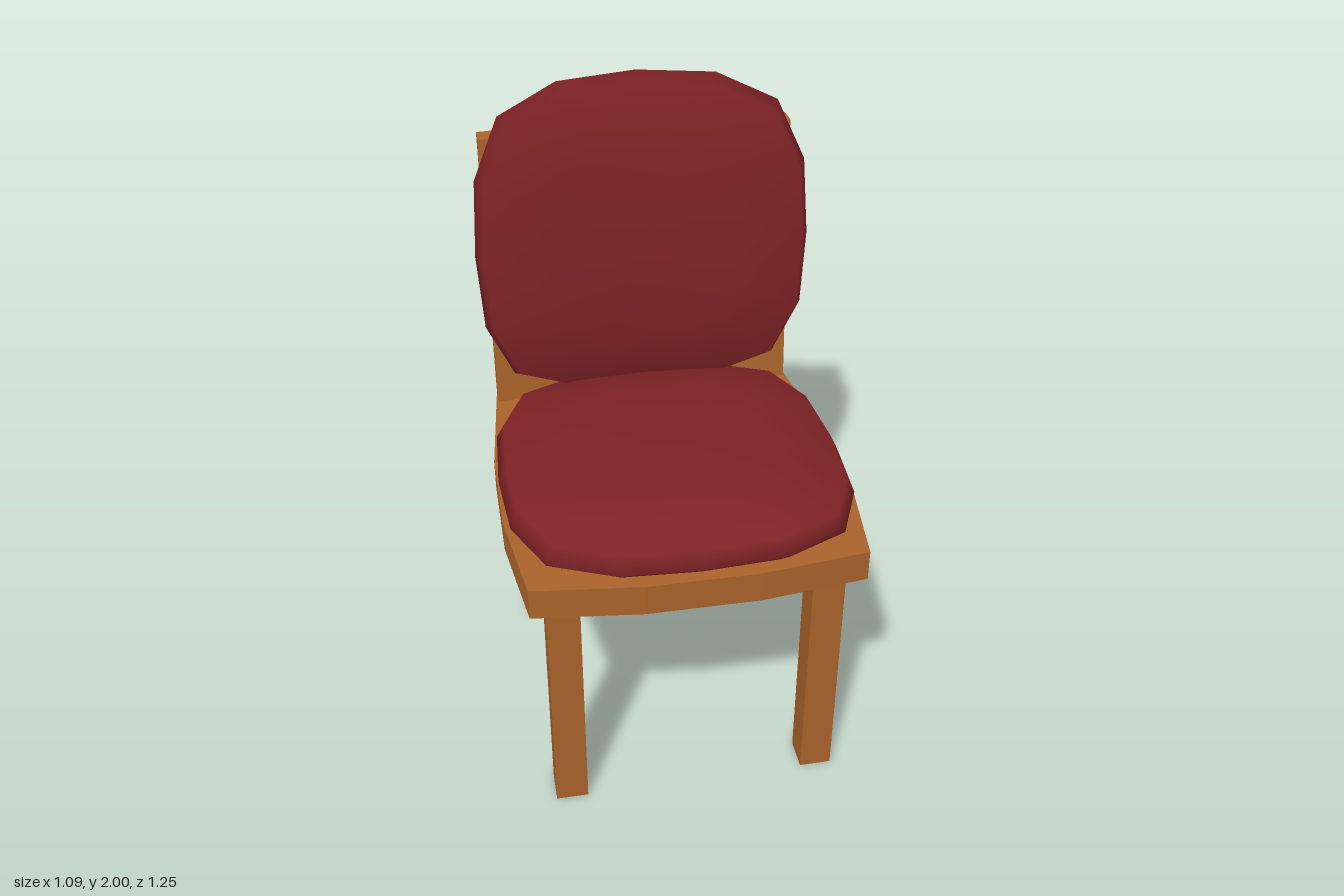
import * as THREE from 'three';
import { mergeVertices } from 'three/addons/utils/BufferGeometryUtils.js';

const wood = new THREE.MeshStandardMaterial({ color: 0xa9622b });
const fabric = new THREE.MeshStandardMaterial({ color: 0x7d2225 });
const LEAN = 0.079; // backward slope of the backrest

function part(group, name, geometry, material) {
  const mesh = new THREE.Mesh(geometry, material);
  mesh.name = name;
  group.add(mesh);
  return mesh;
}

// Apply a rule to every vertex
function warp(geometry, rule) {
  const pos = geometry.attributes.position;
  const v = new THREE.Vector3();
  for (let i = 0; i < pos.count; i++) {
    rule(v.fromBufferAttribute(pos, i));
    pos.setXYZ(i, v.x, v.y, v.z);
  }
  geometry.computeVertexNormals();
  return geometry;
}

// Board with a plan outline of [x, z] points, standing between two heights
function board(outline, y0, y1) {
  const shape = new THREE.Shape(outline.map(([x, z]) => new THREE.Vector2(x, -z)));
  return new THREE.ExtrudeGeometry(shape, { depth: y1 - y0, bevelEnabled: false })
    .rotateX(-Math.PI / 2)
    .translate(0, y0, 0);
}

// Mirror the right half of an outline across x = 0
const mirrored = (half) => [...half, ...half.map(([x, z]) => [-x, z]).reverse()];

// Puffy rounded-square cushion lying on y = 0
function cushion(halfWidth, halfDepth) {
  const quarter = [[0, 1], [0.463, 0.972], [0.815, 0.815], [0.972, 0.463]];
  const outline = [];
  for (let q = 0; q < 4; q++) {
    for (let [x, z] of quarter) {
      for (let k = 0; k < q; k++) [x, z] = [z, -x];
      outline.push([x, z]);
    }
  }
  const rings = [[0, 0], [0.93, 0], [1, 0.035], [0.955, 0.085], [0.58, 0.135], [0, 0.152]];
  const n = outline.length;
  const positions = [];
  const index = [];
  rings.forEach(([scale, y], r) => {
    outline.forEach(([x, z], i) => {
      positions.push(x * scale * halfWidth, y, z * scale * halfDepth);
      if (r === rings.length - 1) return;
      const a = r * n + i;
      const b = r * n + ((i + 1) % n);
      if (r > 0) index.push(a, b, b + n);
      if (r < rings.length - 2) index.push(a, b + n, a + n);
      else index.push(a, b, b + n);
    });
  });
  const geometry = new THREE.BufferGeometry();
  geometry.setAttribute('position', new THREE.Float32BufferAttribute(positions, 3));
  geometry.setIndex(index);
  const merged = mergeVertices(geometry);
  merged.computeVertexNormals();
  return merged;
}

export function createModel() {
  const chair = new THREE.Group();
  chair.name = 'chair';

  // Square legs
  for (const sx of [-1, 1]) {
    for (const [end, z] of [['front', 0.485], ['back', -0.44]]) {
      const leg = part(chair, `${end}Leg${sx > 0 ? 'Left' : 'Right'}`,
        new THREE.BoxGeometry(0.1, 0.8, 0.1), wood);
      leg.position.set(sx * 0.4, 0.4, z);
    }
  }

  // Seat board with bowed edges; its rear edge follows the backrest slope
  const seatOutline = mirrored([
    [0.17, 0.622], [0.5, 0.582], [0.543, 0.25], [0.543, -0.08], [0.5, -0.505], [0.17, -0.545],
  ]);
  part(chair, 'seatBoard', warp(board(seatOutline, 0.8, 0.9), (v) => {
    if (v.z < -0.4) v.z -= LEAN * (v.y - 0.8);
  }), wood);

  // Curved, leaning back panel
  const backOutline = mirrored([
    [0.17, -0.475], [0.5, -0.435], [0.5, -0.505], [0.17, -0.545],
  ]);
  part(chair, 'backPanel', warp(board(backOutline, 0.9, 1.81), (v) => {
    v.z -= LEAN * (v.y - 0.8);
  }), wood);

  // Cushions: the back one is stood up, wrapped around and leaned
  part(chair, 'seatCushion', cushion(0.54, 0.54).translate(0, 0.9, 0.08), fabric);
  const backCushion = cushion(0.54, 0.53).rotateX(Math.PI / 2).translate(0, 1.47, -0.52);
  part(chair, 'backCushion', warp(backCushion, (v) => {
    v.z += 0.09 * (v.x / 0.54) ** 2 - LEAN * (v.y - 1.47);
  }), fabric);

  return chair;
}
